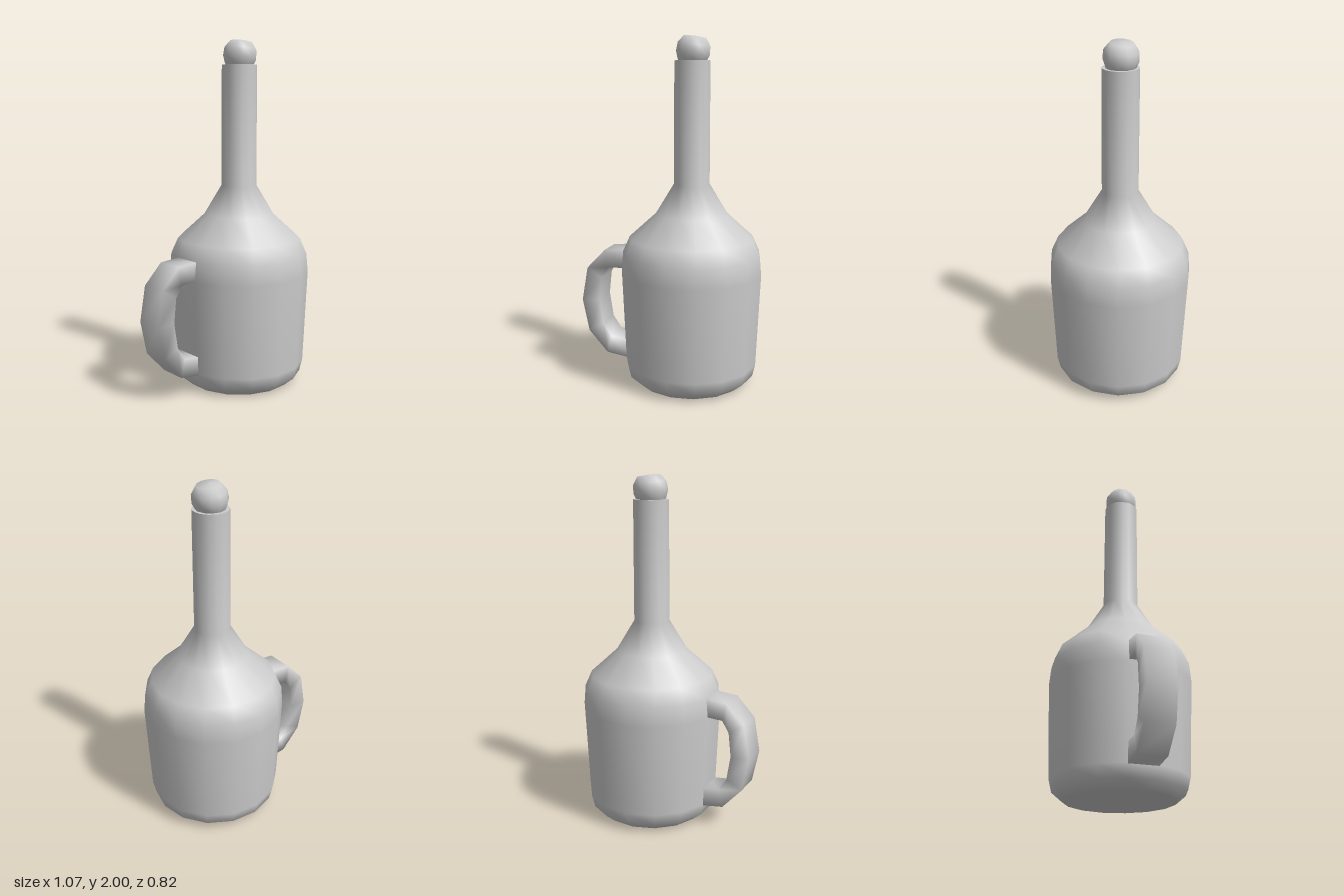
import * as THREE from 'three';

const material = new THREE.MeshStandardMaterial({ color: 0xcccccc });
const AXIS_X = 0.12; // the bottle stands off-centre to leave room for the handle

function part(name, geometry) {
  const mesh = new THREE.Mesh(geometry, material);
  mesh.name = name;
  return mesh;
}

// Smooth turned shape with a corner pointing to +x; repeated points make a crease
function turned(profile, sides) {
  const points = profile.map(([r, y]) => new THREE.Vector2(r, y));
  return new THREE.LatheGeometry(points, sides, Math.PI / 2);
}

// Flat strap: [outer x, outer y, inner x, inner y] per section, shared corners for soft shading
function strap(sections, halfWidth) {
  const positions = [], index = [];
  sections.forEach(([ox, oy, ix, iy], i) => {
    positions.push(ox, oy, halfWidth, ox, oy, -halfWidth, ix, iy, -halfWidth, ix, iy, halfWidth);
    if (i === sections.length - 1) return;
    for (let k = 0; k < 4; k++) {
      const a = i * 4 + k, b = i * 4 + (k + 1) % 4;
      index.push(a, b, b + 4, a, b + 4, a + 4);
    }
  });
  const geometry = new THREE.BufferGeometry();
  geometry.setAttribute('position', new THREE.Float32BufferAttribute(positions, 3));
  geometry.setIndex(index);
  geometry.computeVertexNormals();
  return geometry;
}

export function createModel() {
  const model = new THREE.Group();
  model.name = 'jug';

  // Body, shoulder and neck in one turned piece
  const body = part('bottleBody', turned([
    [0, 0], [0.31, 0], [0.37, 0.05], [0.387, 0.12], [0.41, 0.66], [0.4, 0.77],
    [0.36, 0.86], [0.205, 1.0], [0.103, 1.17], [0.101, 1.86], [0.101, 1.86], [0, 1.86],
  ], 15));
  body.position.x = AXIS_X;
  model.add(body);

  // Rounded stopper, leaning slightly, with a flattened top
  const stopper = part('stopper', turned([
    [0.05, -0.1], [0.082, -0.05], [0.097, -0.01], [0.094, 0.038], [0.064, 0.08], [0, 0.084],
  ], 12));
  stopper.position.set(AXIS_X + 0.003, 1.91, 0);
  stopper.rotation.z = -0.14;
  model.add(stopper);

  // Handle, its ends buried in the body wall
  model.add(part('handle', strap([
    [-0.23, 0.778, -0.24, 0.668],
    [-0.39, 0.765, -0.37, 0.66],
    [-0.5, 0.65, -0.41, 0.595],
    [-0.535, 0.45, -0.425, 0.455],
    [-0.495, 0.26, -0.402, 0.31],
    [-0.38, 0.133, -0.352, 0.235],
    [-0.22, 0.11, -0.22, 0.222],
  ], 0.083)));

  return model;
}
